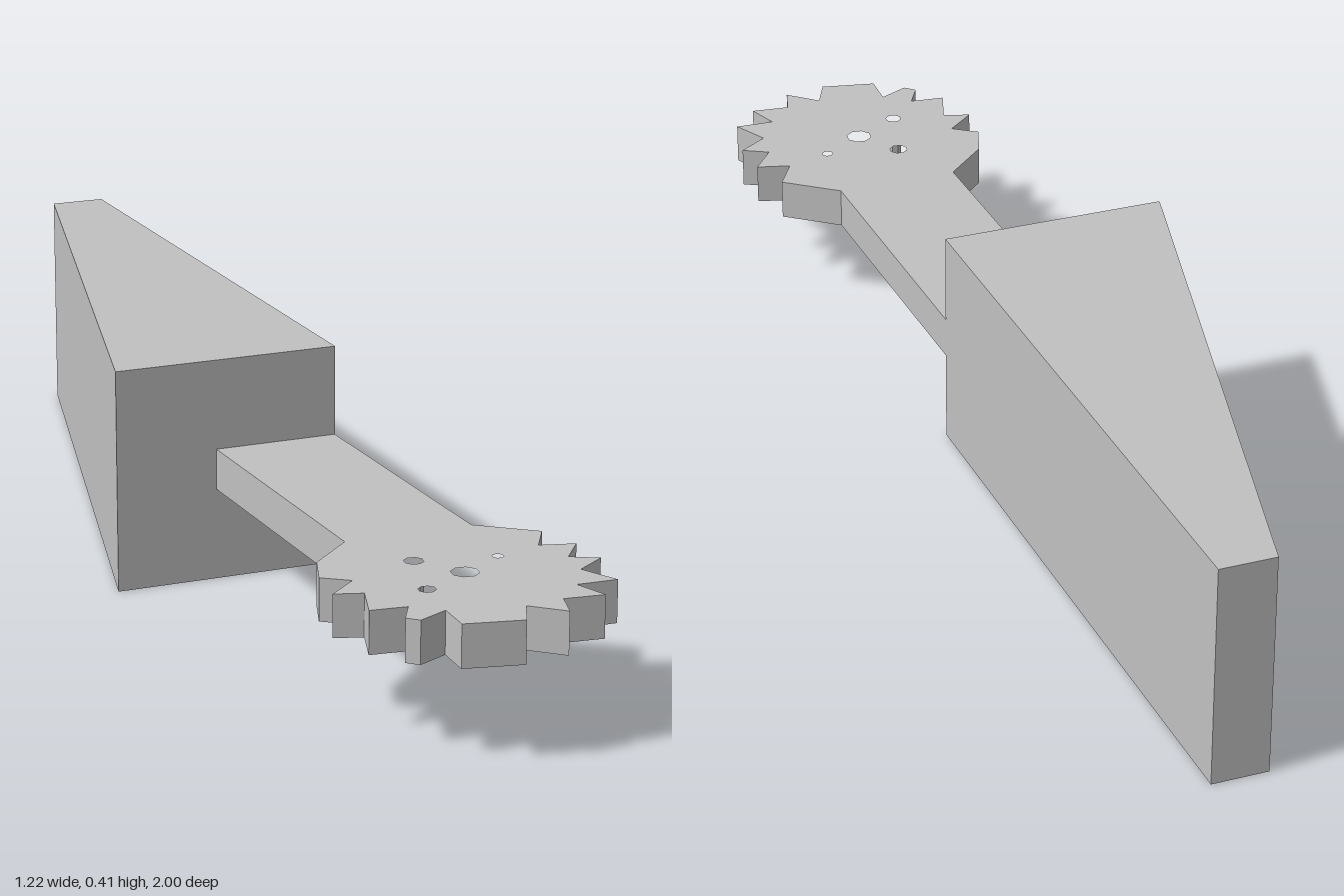
import * as THREE from 'three';

// Extrudes a plan outline of [x, z] points upward from y0 to y1.
function slab(name, outline, holes, y0, y1, material) {
  const shape = new THREE.Shape(outline.map(([x, z]) => new THREE.Vector2(x, -z)));
  for (const [x, z, r] of holes) {
    const hole = new THREE.Path();
    hole.absarc(x, -z, r, 0, Math.PI * 2, true);
    shape.holes.push(hole);
  }
  const geometry = new THREE.ExtrudeGeometry(shape, { depth: y1 - y0, bevelEnabled: false, curveSegments: 4 });
  geometry.rotateX(-Math.PI / 2).translate(0, y0, 0);
  const mesh = new THREE.Mesh(geometry, material);
  mesh.name = name;
  return mesh;
}

export function createModel() {
  const group = new THREE.Group();
  group.name = 'bladeWithGear';
  const grey = new THREE.MeshStandardMaterial({ color: 0xc0c0c0 });
  grey.name = 'plain grey';

  // Tall tapered block
  const block = [[-0.61, -0.95], [-0.52, -1], [0.07, 0.03], [-0.295, 0.235]];
  group.add(slab('taperedBlock', block, [], 0, 0.408, grey));

  // Flat arm running into an uneven toothed wheel
  const armAndWheel = [
    [-0.13, 0.143], [0.07, 0.03], [0.35, 0.51],
    [0.47, 0.53], [0.468, 0.602], [0.53, 0.587], [0.52, 0.655], [0.573, 0.655],
    [0.543, 0.715], [0.605, 0.758], [0.54, 0.79], [0.588, 0.833], [0.522, 0.86],
    [0.535, 0.917], [0.465, 0.9], [0.47, 0.965], [0.37, 0.995], [0.34, 0.935],
    [0.305, 0.985], [0.28, 0.978], [0.28, 0.925], [0.22, 0.95], [0.205, 0.87],
    [0.155, 0.88], [0.18, 0.812], [0.125, 0.805], [0.113, 0.73], [0.148, 0.622],
  ];
  // Axle hole and three smaller holes
  const holes = [[0.357, 0.75, 0.024], [0.27, 0.705, 0.017], [0.405, 0.665, 0.01], [0.303, 0.84, 0.015]];
  group.add(slab('armAndToothedWheel', armAndWheel, holes, 0.168, 0.243, grey));

  return group;
}
